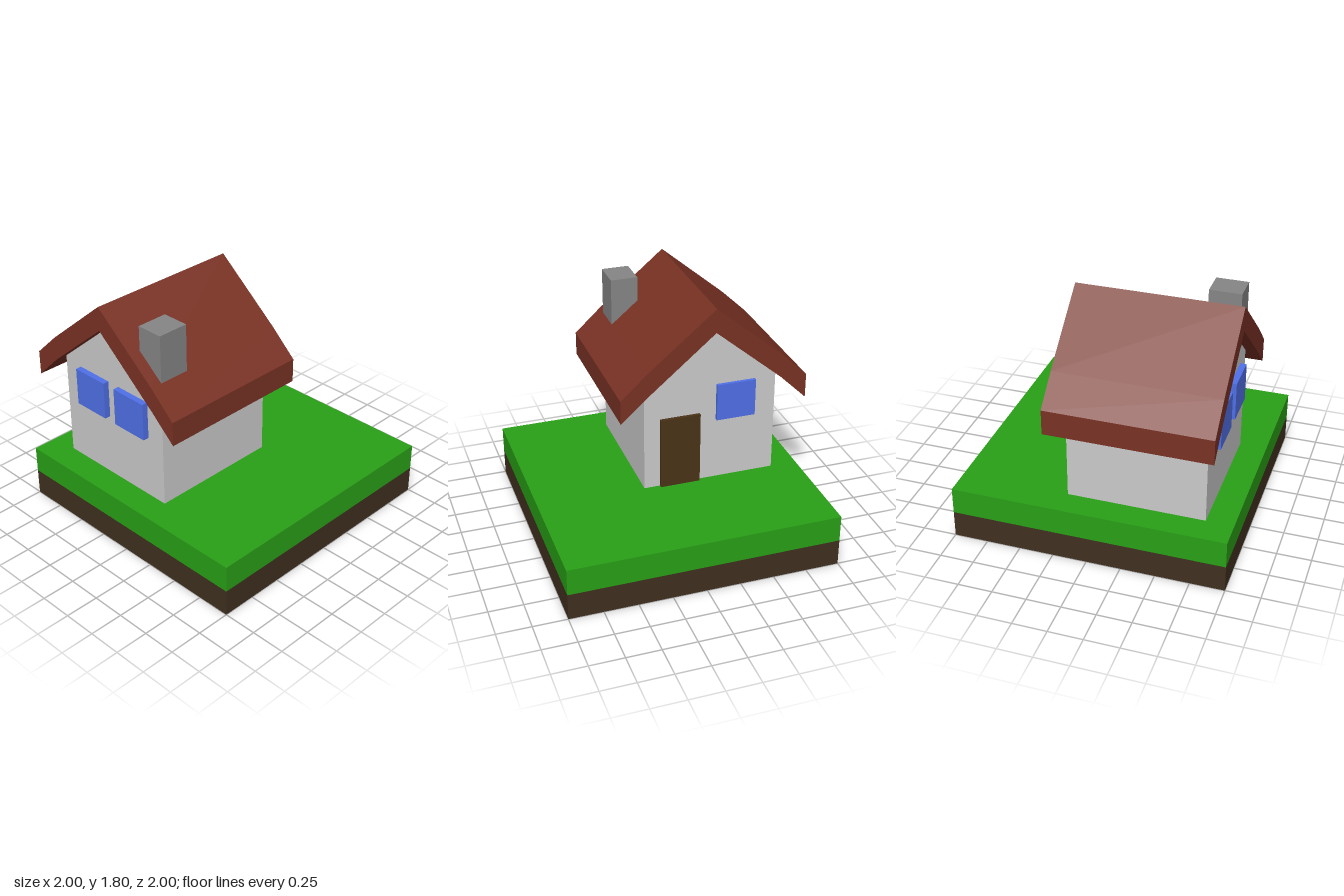
import * as THREE from 'three';

const material = (color) => new THREE.MeshStandardMaterial({ color, flatShading: true });

// Box given by its min and max corners
function box(name, mat, [x0, y0, z0], [x1, y1, z1]) {
  const mesh = new THREE.Mesh(new THREE.BoxGeometry(x1 - x0, y1 - y0, z1 - z0), mat);
  mesh.name = name;
  mesh.position.set((x0 + x1) / 2, (y0 + y1) / 2, (z0 + z1) / 2);
  return mesh;
}

// Front outline extruded from z0 to z1
function prism(name, mat, outline, z0, z1) {
  const shape = new THREE.Shape(outline.map(([x, y]) => new THREE.Vector2(x, y)));
  const geometry = new THREE.ExtrudeGeometry(shape, { depth: z1 - z0, bevelEnabled: false });
  const mesh = new THREE.Mesh(geometry, mat);
  mesh.name = name;
  mesh.position.z = z0;
  return mesh;
}

export function createModel() {
  const model = new THREE.Group();
  model.name = 'house';
  const glass = material(0x5070e8);

  // Ground block: soil under grass
  model.add(box('soil', material(0x40301f), [-1, 0, -1], [1, 0.2, 1]));
  model.add(box('grass', material(0x29a016), [-1, 0.2, -1], [1, 0.4, 1]));

  // Walls with gables
  model.add(prism('walls', material(0xcccccc),
    [[-0.8, 0.4], [0.2, 0.4], [0.2, 1.2], [-0.3, 1.62], [-0.8, 1.2]], -0.2, 0.8));

  // Thick roof, bent slightly at the eaves
  model.add(prism('roof', material(0x7a3224), [
    [-1, 1.005], [-0.8, 1.2], [-0.3, 1.62], [0.2, 1.2], [0.4, 1.02],
    [0.4, 1.2], [0.2, 1.385], [-0.3, 1.8], [-0.8, 1.38], [-1, 1.19],
  ], -0.295, 0.89));

  // Chimney, its foot sunk into the roof
  model.add(box('chimney', material(0x868686), [0, 1.3, 0.565], [0.203, 1.735, 0.8]));

  // Two front windows
  for (const [name, x] of [['frontWindowRight', -0.64], ['frontWindowLeft', -0.24]]) {
    model.add(box(name, glass, [x, 0.885, 0.79], [x + 0.295, 1.17, 0.845]));
  }

  // Back window and door
  model.add(box('backWindow', glass, [-0.64, 0.885, -0.225], [-0.345, 1.17, -0.19]));
  model.add(box('door', material(0x4a3318), [-0.22, 0.4, -0.225], [0.08, 0.955, -0.19]));

  return model;
}
